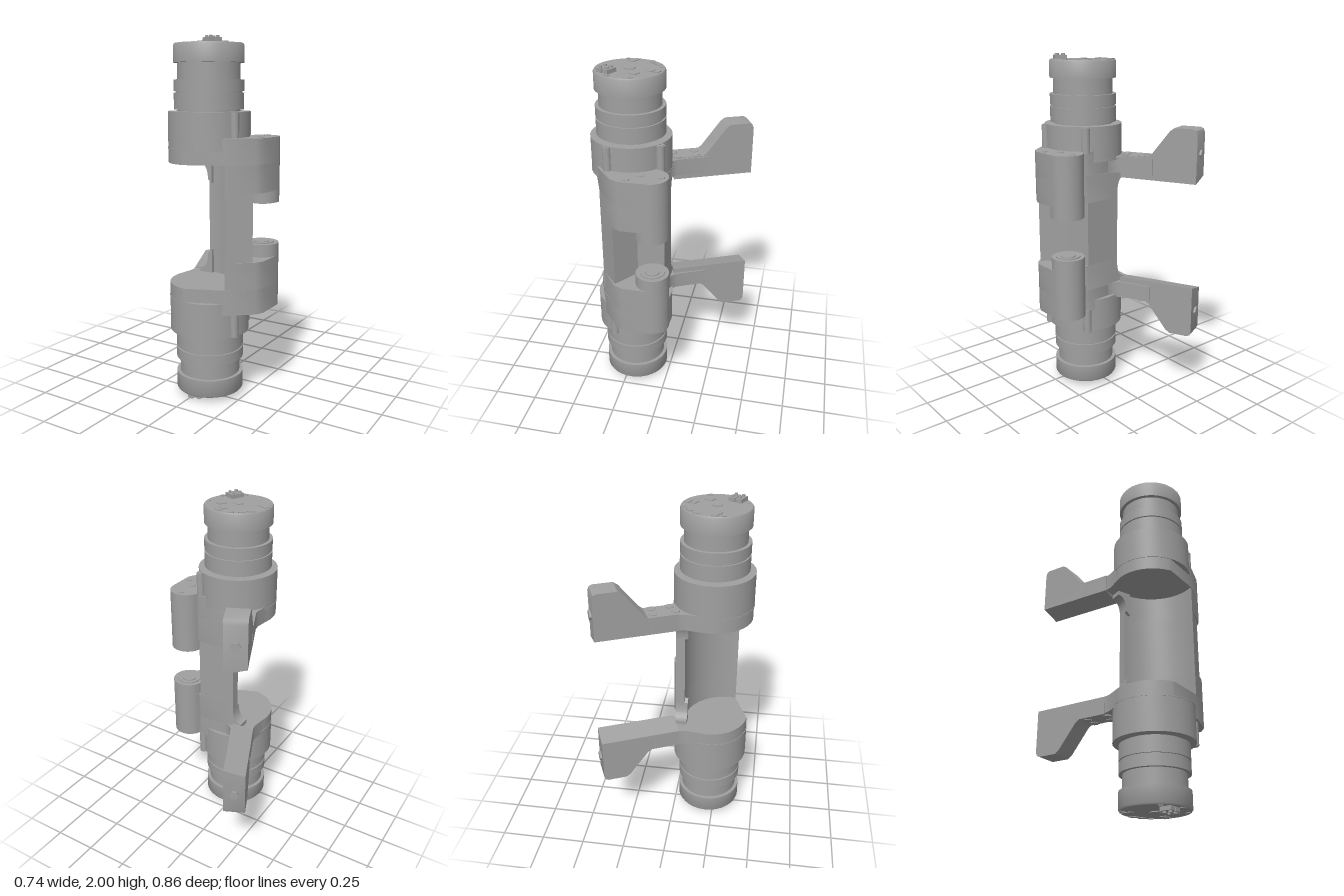
import * as THREE from 'three';
import { toCreasedNormals } from 'three/addons/utils/BufferGeometryUtils.js';

const grey = new THREE.MeshStandardMaterial({ color: 0xa0a0a0 });
grey.name = 'grey';

const MID = 1.004;               // mirror height of the two halves
const AX = 0.037, AZ = 0.21;     // motor axis
const LX = 0.28, LZ = 0.045;     // hinge lobe axis

// points of an arc in the x/z plane, angles in degrees
function arc(cx, cz, r, a0, a1, n = 24) {
  return Array.from({ length: n + 1 }, (_, i) => {
    const a = THREE.MathUtils.degToRad(a0 + (a1 - a0) * i / n);
    return [cx + r * Math.cos(a), cz + r * Math.sin(a)];
  });
}

export function createModel() {
  const model = new THREE.Group();
  model.name = 'dualMotorJoint';

  function add(parent, name, geometry) {
    const mesh = new THREE.Mesh(toCreasedNormals(geometry, 0.6), grey);
    mesh.name = name;
    parent.add(mesh);
    return mesh;
  }

  // upright prism from an x/z outline, with optional hole outlines
  function prism(parent, name, outline, y0, y1, holes = []) {
    const toV = p => new THREE.Vector2(p[0], -p[1]);
    const shape = new THREE.Shape(outline.map(toV));
    holes.forEach(h => shape.holes.push(new THREE.Path(h.map(toV))));
    const g = new THREE.ExtrudeGeometry(shape, { depth: Math.abs(y1 - y0), bevelEnabled: false });
    g.rotateX(-Math.PI / 2).translate(0, Math.min(y0, y1), 0);
    return add(parent, name, g);
  }

  // concave front wall of the spine, clear of the motor-side pulley space
  const frontWall = [[0.22, 0.35], ...arc(-0.03, 0.31, 0.25, 6, -96, 18).slice(1), [-0.055, 0.01]];
  const lobeBack = arc(LX, LZ, 0.095, 0, -160, 24);

  // spine joining both halves
  prism(model, 'spine', [[0.17, 0], [0.2, 0.15], [0.335, 0.25], ...frontWall], 2 * MID - 1.19, 1.19);

  for (const upper of [true, false]) {
    const Y = y => upper ? y : 2 * MID - y;
    const half = new THREE.Group();
    half.name = upper ? 'upperHalf' : 'lowerHalf';
    model.add(half);

    // thick end of the spine, carrying the hinge lobe
    prism(half, 'spineEnd', [[0.17, 0], ...lobeBack.slice().reverse(), [0.375, 0.2], [0.35, 0.25], ...frontWall], Y(1.19), Y(1.345));
    prism(half, 'hingeLobe', arc(LX, LZ, 0.095, 0, 360, 48).slice(0, -1), Y(1.12), Y(1.48));
    for (const r of [0.07, 0.04])
      prism(half, 'bearingRing', arc(LX, LZ, r, 0, 360, 32).slice(0, -1), Y(1.114), Y(1.121),
        [arc(LX, LZ, r - 0.016, 0, 360, 32).slice(0, -1)]);

    // flange and round motor housing
    prism(half, 'flange', [
      ...arc(AX, AZ, 0.222, 210, 96, 24), [0.23, 0.345], [0.35, 0.25], [0.375, 0.2],
      ...lobeBack, [0.165, 0], [0, 0.012],
    ], Y(1.34), Y(1.48));
    prism(half, 'seam', arc(AX, AZ, 0.225, 0, 360, 64).slice(0, -1), Y(1.416), Y(1.424));
    prism(half, 'motorHousing', arc(AX, AZ, 0.223, 0, 360, 64).slice(0, -1), Y(1.424), Y(1.615));
    for (const [x, z] of [[0.245, 0.29], [0.165, 0.02]])
      prism(half, 'screwBoss', arc(x, z, 0.024, 0, 360, 16).slice(0, -1), Y(1.47), Y(1.61));

    // arm root with fillets into the flange
    prism(half, 'armRoot', [
      [0.03, 0.012], [-0.005, 0.01], [-0.035, 0], [-0.06, -0.025], [-0.14, -0.19],
      [-0.262, -0.14], [-0.175, 0.045], [-0.17, 0.085], [-0.183, 0.19], [0, 0.2],
    ], Y(1.34), Y(1.435));

    // curved gusset from the spine to the arm
    const gusset = new THREE.Shape();
    gusset.moveTo(-0.03, Y(1.2));
    gusset.lineTo(-0.055, Y(1.22));
    gusset.quadraticCurveTo(-0.058, Y(1.31), -0.11, Y(1.315));
    gusset.lineTo(-0.11, Y(1.345));
    gusset.lineTo(-0.03, Y(1.345));
    add(half, 'gusset', new THREE.ExtrudeGeometry(gusset, { depth: 0.07, bevelEnabled: false }).translate(0, 0, 0.01));

    // angled arm: side profile swept across its width, underside tilted
    const profile = [[0, 1.31], [0, 1.44], [0.17, 1.44], [0.19, 1.455], [0.3, 1.595], [0.325, 1.613],
      [0.435, 1.613], [0.452, 1.605], [0.46, 1.585], [0.46, 1.31]];
    const armGeo = new THREE.ExtrudeGeometry(
      new THREE.Shape(profile.map(([s, y]) => new THREE.Vector2(s, Y(y)))), { depth: 0.124, bevelEnabled: false });
    armGeo.translate(0, 0, -0.062);
    const p = armGeo.attributes.position;
    for (let i = 0; i < p.count; i++)
      if (Math.abs(p.getY(i) - Y(1.31)) < 1e-4 && p.getZ(i) < 0) p.setY(i, Y(1.34));
    const d = new THREE.Vector3(-0.412, 0, -0.911).normalize();
    const up = new THREE.Vector3(0, 1, 0);
    const frame = new THREE.Matrix4().makeBasis(d, up, d.clone().cross(up)).setPosition(-0.1205, 0, 0.02);
    add(half, 'arm', armGeo.applyMatrix4(frame));
    const tipScrew = new THREE.CylinderGeometry(0.027, 0.027, 0.02, 6).rotateZ(Math.PI / 2).translate(0.462, Y(1.47), 0);
    add(half, 'tipScrew', tipScrew.applyMatrix4(frame));

    // hexagonal nuts on the arm root and screws on the lobe
    const nut = (name, x, z, r, y) => prism(half, name, arc(x, z, r, 0, 360, 6).slice(0, -1), Y(y - 0.01), Y(y + 0.004),
      [arc(x, z, r * 0.5, 0, 360, 12).slice(0, -1)]);
    for (const [x, z] of [[-0.195, -0.095], [-0.14, -0.115], [-0.14, 0.02], [-0.095, -0.02]])
      nut('armNut', x, z, 0.026, 1.44);
    for (const [x, z] of [[0.28, -0.01], [0.28, 0.1], [0.34, 0.165]]) nut('lobeScrew', x, z, 0.021, 1.48);
    for (const [x, z] of [[0.245, 0.29], [0.165, 0.02]]) nut('housingScrew', x, z, 0.021, 1.611);

    // stepped motor body
    let rings = [[0.17, 1.6], [0.17, 1.625], [0.19, 1.625], [0.19, 1.712], [0.181, 1.712], [0.181, 1.722],
      [0.19, 1.722], [0.19, 1.782], [0.17, 1.782], [0.17, 1.87], [0.19, 1.87], [0.19, 1.962], [0.185, 1.97], [0, 1.97]]
      .map(([r, y]) => new THREE.Vector2(r, Y(y)));
    if (!upper) rings.reverse();
    add(half, 'motor', new THREE.LatheGeometry(rings, 64).translate(AX, 0, AZ));

    // end-cap details, turned about the motor axis on the lower motor
    const cap = new THREE.Group();
    cap.name = 'motorCapDetails';
    cap.position.set(AX, 0, AZ);
    cap.rotation.y = upper ? 0 : -Math.PI / 4;
    half.add(cap);
    prism(cap, 'shaftNut', arc(0, 0, 0.032, 0, 360, 6).slice(0, -1), Y(1.969), Y(1.975));
    const plates = [[-0.132, -0.095, 0.045, 0.028, 0.6], [-0.095, -0.13, 0.04, 0.028, 0.6], [0.035, -0.155, 0.045, 0.028, -0.4],
      [0.025, -0.12, 0.04, 0.028, -0.4], [0.085, -0.045, 0.045, 0.045, -0.5], [-0.145, 0.012, 0.065, 0.03, -0.4],
      [-0.165, 0.05, 0.02, 0.02, 0.6], [-0.05, -0.163, 0.025, 0.02, 0.3], [0.16, -0.05, 0.02, 0.025, 0.5],
      [0.15, 0.08, 0.02, 0.025, -0.4], [0.05, 0.16, 0.025, 0.02, 0.2]];
    for (const [x, z, w, l, a] of plates)
      add(cap, 'capPlate', new THREE.BoxGeometry(w, 0.006, l).rotateY(a).translate(x, Y(1.971), z));

    // plug with two sockets and pins
    for (const side of [-1, 1]) {
      add(cap, 'plug', new THREE.BoxGeometry(0.068, 0.024, 0.036).translate(0, 0, side * 0.021)
        .rotateY(-0.45).translate(0.085, Y(1.98), 0.1));
      for (const pin of [-1, 1])
        add(cap, 'pin', new THREE.CylinderGeometry(0.009, 0.009, 0.036, 8).translate(pin * 0.018, 0, side * 0.021)
          .rotateY(-0.45).translate(0.085, Y(1.984), 0.1));
    }
  }
  return model;
}
